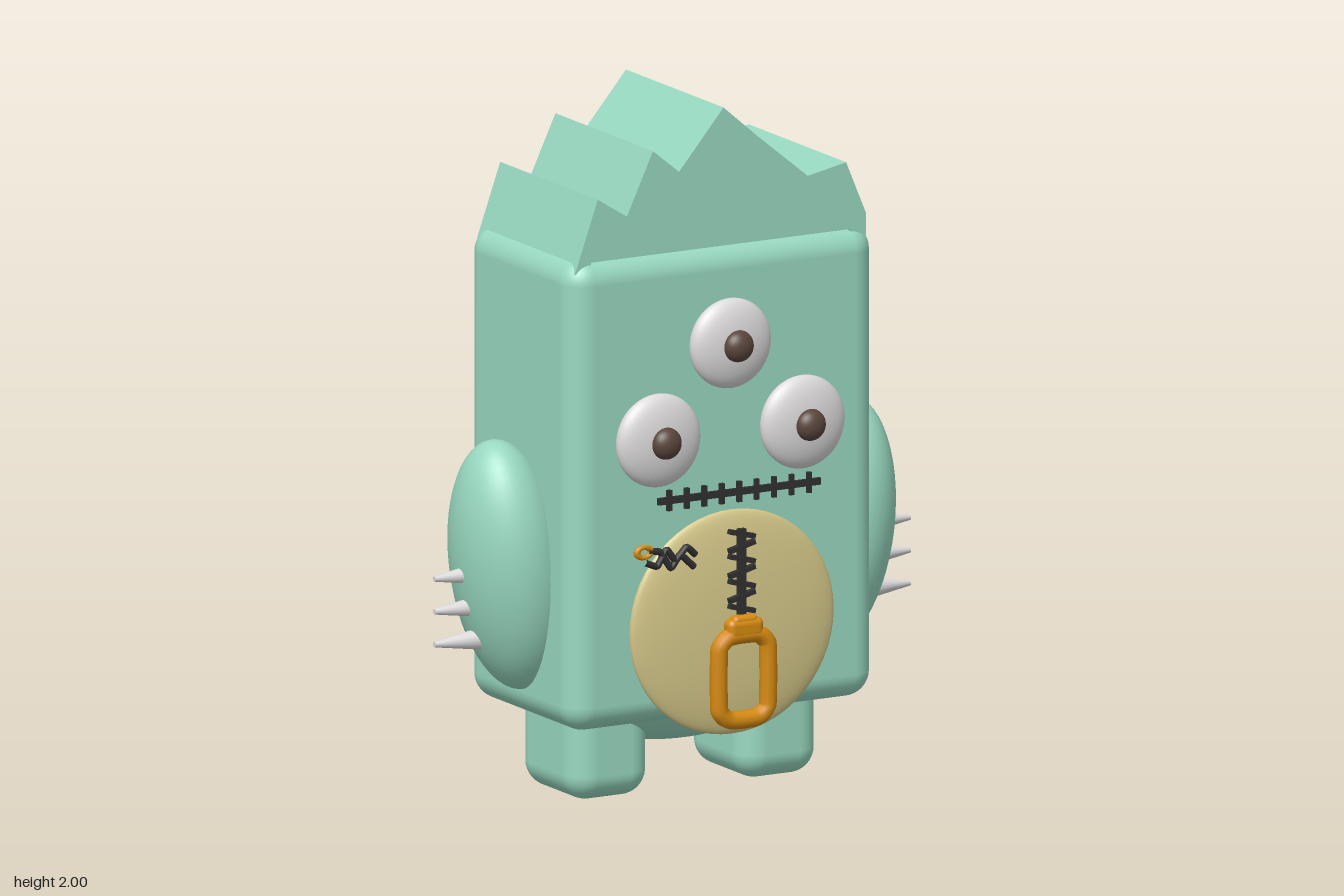
import * as THREE from 'three';
import { RoundedBoxGeometry } from 'three/addons/geometries/RoundedBoxGeometry.js';

export function createModel() {
  const root = new THREE.Group();
  root.name = 'monster';

  const mat = (name, color) => {
    const m = new THREE.MeshStandardMaterial({ color });
    m.name = name;
    return m;
  };
  const fur = mat('mint fur', 0x98d8c0);
  const white = mat('eye and claw white', 0xdcdada);
  const brown = mat('pupil brown', 0x5a463c);
  const cream = mat('belly cream', 0xd6c98a);
  const orange = mat('zip orange', 0xd68a10);
  const dark = mat('stitch black', 0x303030);

  const add = (name, geometry, material, x = 0, y = 0, z = 0, parent = root) => {
    const mesh = new THREE.Mesh(geometry, material);
    mesh.name = name;
    mesh.position.set(x, y, z);
    parent.add(mesh);
    return mesh;
  };
  const ball = (rx, ry, rz) => new THREE.SphereGeometry(1, 40, 28).scale(rx, ry, rz);
  const group = (name) => {
    const g = new THREE.Group();
    g.name = name;
    root.add(g);
    return g;
  };

  // Body, underside and tail
  add('body', new RoundedBoxGeometry(1, 1.37, 0.605, 6, 0.075), fur, 0, 0.925, -0.01);
  add('underside', ball(0.45, 0.24, 0.27), fur, 0, 0.365, -0.02);
  add('tail', ball(0.08, 0.08, 0.08), fur, 0, 0.445, -0.34);

  // Jagged hair: one profile extruded from front to back
  const hairShape = new THREE.Shape([
    [-0.475, 1.57], [-0.435, 1.57], [-0.42, 1.6], [0.42, 1.6], [0.435, 1.57], [0.475, 1.57],
    [0.475, 1.64], [0.41, 1.795], [0.285, 1.77], [0.12, 1.905], [0.01, 2],
    [-0.135, 1.83], [-0.22, 1.9], [-0.305, 1.72], [-0.4, 1.78],
  ].map(([x, y]) => new THREE.Vector2(x, y)));
  add('hair', new THREE.ExtrudeGeometry(hairShape, { depth: 0.55, bevelEnabled: false }), fur, 0, 0, -0.285);

  // Legs, arms and claws, mirrored
  for (const [side, s] of [['left', 1], ['right', -1]]) {
    add(side + 'Leg', new RoundedBoxGeometry(0.26, 0.34, 0.335, 6, 0.075), fur, s * 0.275, 0.17, -0.022);
    const arm = add(side + 'Arm', ball(0.158, 0.367, 0.188), fur, s * 0.535, 0.685, -0.01);
    arm.rotation.z = -s * 0.13;
    const claws = group(side + 'Claws');
    for (const y of [0.67, 0.575, 0.48]) {
      const claw = add('claw', new THREE.CylinderGeometry(0.008, 0.035, 0.17, 16), white, s * 0.69, y, -0.008, claws);
      claw.rotation.z = -s * Math.PI / 2;
    }
  }

  // Three eyes
  for (const [name, x, y, r] of [['topEye', 0, 1.33, 0.13], ['leftEye', 0.235, 1.075, 0.135], ['rightEye', -0.235, 1.075, 0.135]]) {
    add(name, ball(r, r, 0.05), white, x, y, 0.32);
    add(name + 'Pupil', ball(0.046, 0.046, 0.036), brown, x, y, 0.366);
  }

  // Stitched mouth
  const mouth = group('mouth');
  add('mouthLine', new THREE.BoxGeometry(0.53, 0.02, 0.01), dark, 0, 0.91, 0.37, mouth);
  for (let i = -4; i <= 4; i++) {
    add('mouthStitch', new THREE.BoxGeometry(0.014, 0.06, 0.012), dark, i * 0.057, 0.91, 0.37, mouth);
  }

  // Belly patch with its zip
  add('bellyPatch', ball(0.333, 0.325, 0.04), cream, 0, 0.525, 0.328);
  const zip = group('zip');
  add('zipLine', new THREE.BoxGeometry(0.022, 0.26, 0.016), dark, 0, 0.675, 0.384, zip);
  for (let i = 0; i < 7; i++) {
    const tooth = add('zipTooth', new THREE.BoxGeometry(0.085, 0.014, 0.018), dark, 0, 0.79 - i * 0.036, 0.385, zip);
    tooth.rotation.z = i % 2 ? 0.25 : -0.25;
  }

  // Zip pull: rounded loop and clasp
  const tube = (points, radius, closed, tension = 0.5) => new THREE.TubeGeometry(
    new THREE.CatmullRomCurve3(points.map(([x, y]) => new THREE.Vector3(x, y, 0)), closed, 'catmullrom', tension),
    80, radius, 10, closed);
  const loop = [];
  for (const [cx, cy, start] of [[0.03, 0.45, 0], [-0.03, 0.45, 1], [-0.03, 0.305, 2], [0.03, 0.305, 3]]) {
    for (let k = 0; k <= 3; k++) {
      const a = (start + k / 3) * Math.PI / 2;
      loop.push([cx + 0.05 * Math.cos(a), cy + 0.05 * Math.sin(a)]);
    }
  }
  const pull = group('zipPull');
  add('pullLoop', tube(loop, 0.026, true), orange, 0, 0, 0.395, pull);
  add('pullClasp', new RoundedBoxGeometry(0.115, 0.06, 0.05, 4, 0.02), orange, 0, 0.52, 0.395, pull);
  add('pullTop', new RoundedBoxGeometry(0.08, 0.03, 0.04, 4, 0.014), orange, 0, 0.543, 0.395, pull);

  // Small loose zip beside the belly patch
  const scrap = group('looseZip');
  const strands = [
    [[-0.31, 0.74], [-0.27, 0.725], [-0.24, 0.77], [-0.21, 0.735], [-0.175, 0.77], [-0.145, 0.745]],
    [[-0.3, 0.772], [-0.26, 0.765], [-0.225, 0.715], [-0.195, 0.75], [-0.15, 0.71]],
  ];
  for (const points of strands) {
    add('looseStrand', tube(points, 0.01, false, 0.2), dark, 0, 0, 0.375, scrap);
  }
  const tab = add('looseTab', new THREE.TorusGeometry(0.019, 0.009, 8, 20), orange, -0.313, 0.77, 0.375, scrap);
  tab.scale.set(1.2, 0.8, 1);

  return root;
}
